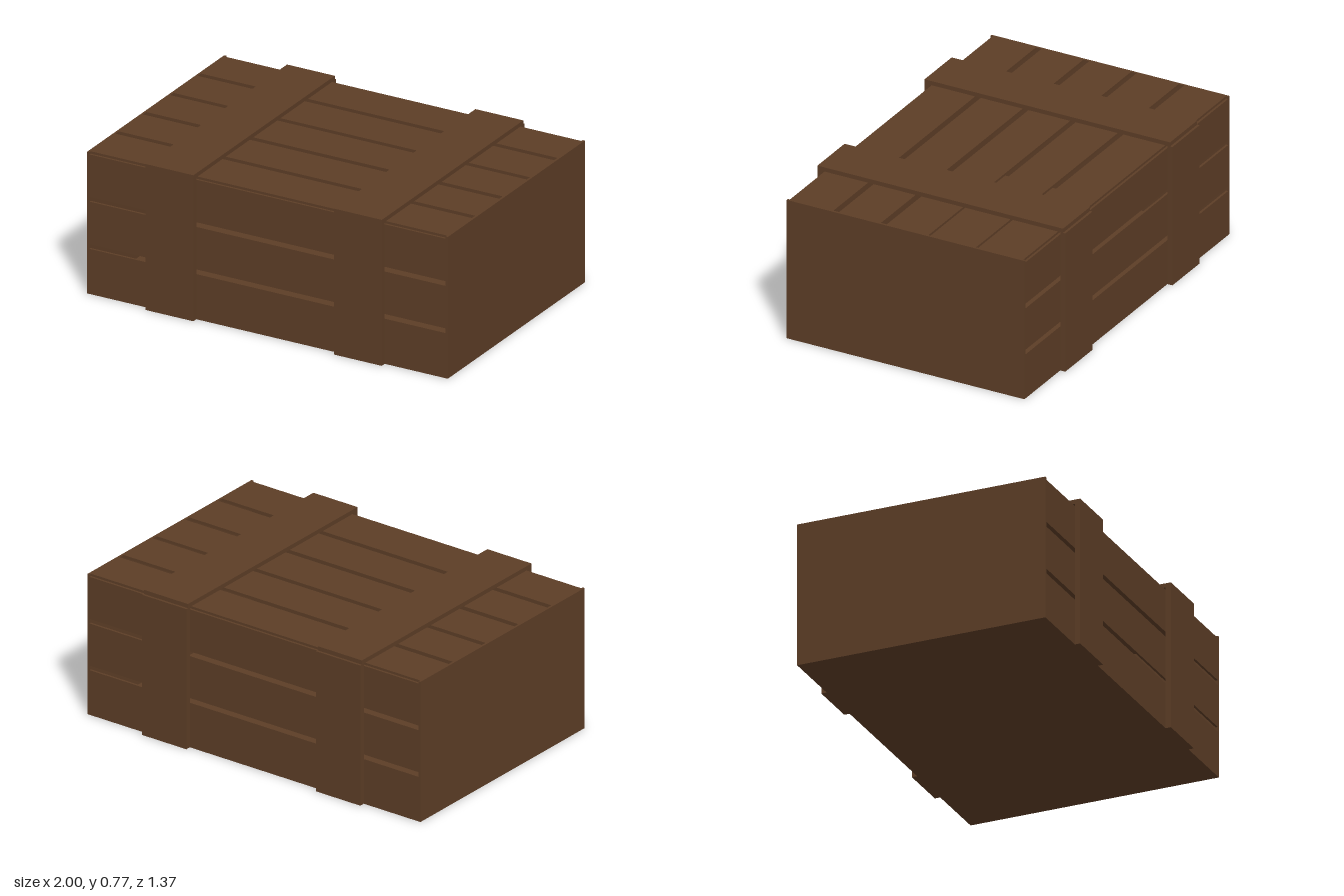
import * as THREE from 'three';

export function createModel() {
  const crate = new THREE.Group();
  crate.name = 'crate';
  const wood = new THREE.MeshStandardMaterial({ color: 0x5c3d26 });

  // Box given by its limits on each axis
  const addBoard = (name, [x0, x1], [y0, y1], [z0, z1]) => {
    const mesh = new THREE.Mesh(new THREE.BoxGeometry(x1 - x0, y1 - y0, z1 - z0), wood);
    mesh.position.set((x0 + x1) / 2, (y0 + y1) / 2, (z0 + z1) / 2);
    mesh.name = name;
    crate.add(mesh);
  };
  const sided = (s, a, b) => (s > 0 ? [a, b] : [-b, -a]);

  const T = 0.012;   // board thickness
  const H = 0.745;   // height without the straps
  const D = 0.655;   // half depth without the straps
  const S = 0.683;   // half depth with the straps
  const inner = [-1 + T, 1 - T];

  // Floor and solid end panels
  addBoard('floor', inner, [0, T], [-D, D]);
  for (const s of [1, -1]) {
    addBoard(s > 0 ? 'leftEndPanel' : 'rightEndPanel', sided(s, 1 - T, 1), [0, H], [-D, D]);
  }

  // Three spaced slats on the front and on the back
  const rows = [[T, 0.237], [0.262, 0.485], [0.51, H - T]];
  for (const s of [1, -1]) {
    for (const row of rows) {
      addBoard(s > 0 ? 'frontSlat' : 'backSlat', inner, row, sided(s, D - T, D));
    }
  }

  // Five spaced slats across the lid
  const lidEdges = [[-0.643, -0.413], [-0.382, -0.15], [-0.12, 0.11], [0.142, 0.373], [0.404, 0.643]];
  for (const edges of lidEdges) addBoard('lidSlat', inner, [H - T, H], edges);

  // Two straps, each with a front, back and lid board
  for (const x of [[-0.66, -0.395], [0.385, 0.65]]) {
    addBoard('frontStrap', x, [0, H], [D, S]);
    addBoard('backStrap', x, [0, H], [-S, -D]);
    addBoard('lidStrap', x, [H, 0.767], [-0.67, S]);
  }

  return crate;
}
